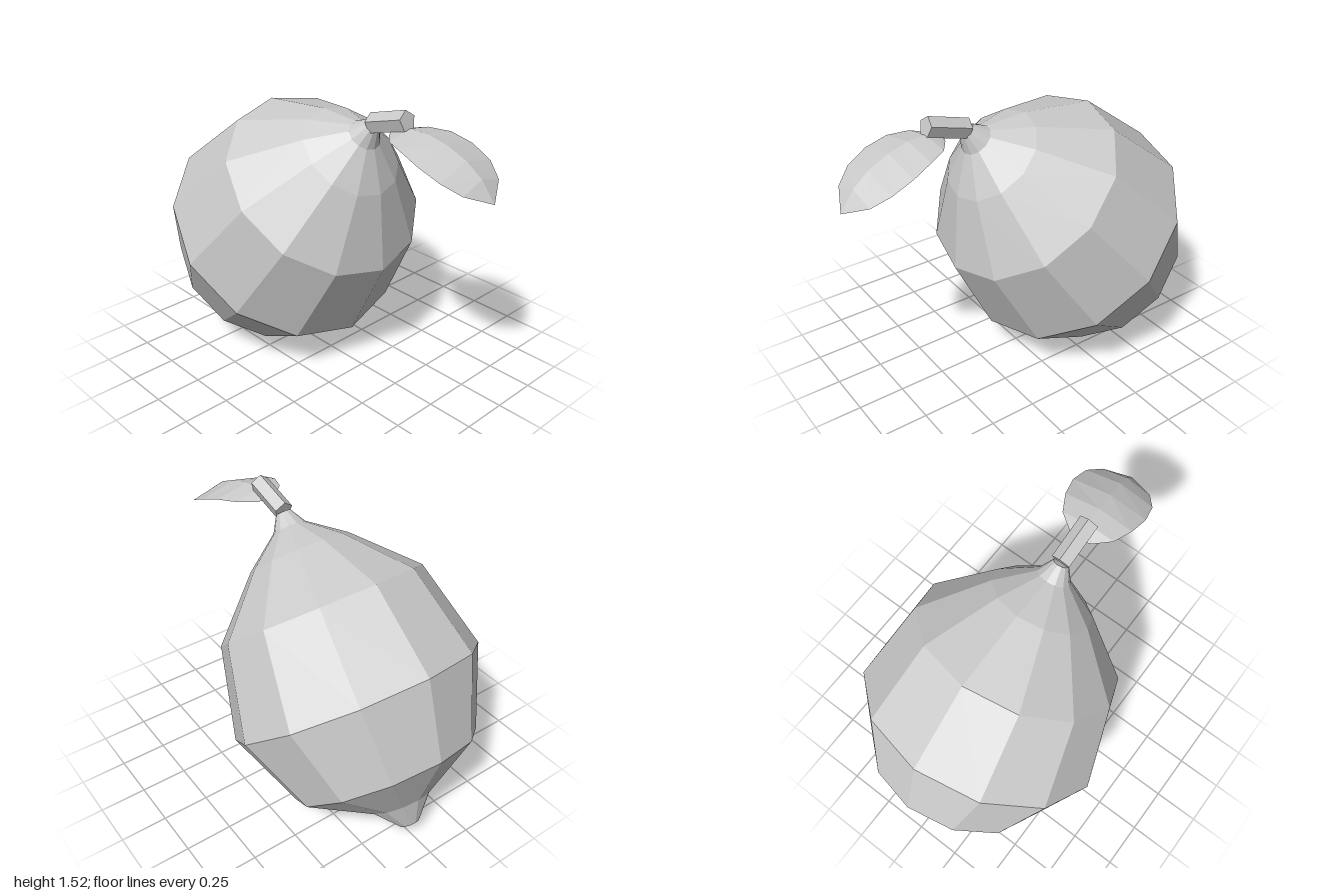
import * as THREE from 'three';

const material = () => new THREE.MeshStandardMaterial({ color: 0xcccccc, flatShading: true });

// Twelve-sided fruit: [radius, distance along its axis], closed at both ends
function makeFruit() {
  const profile = [
    [0, -0.745], [0.055, -0.743], [0.172, -0.612], [0.503, -0.41], [0.678, 0],
    [0.56, 0.481], [0.271, 0.776], [0.088, 0.913], [0.04, 0.995], [0, 1.0],
  ].map(([r, y]) => new THREE.Vector2(r, y));
  const fruit = new THREE.Mesh(new THREE.LatheGeometry(profile, 12), material());
  fruit.name = 'fruit';
  fruit.position.set(-0.35, 0.64, 0);
  fruit.rotation.z = -0.702;
  return fruit;
}

// Five-sided stem with one edge facing up
function makeStem() {
  const geometry = new THREE.CylinderGeometry(0.053, 0.053, 0.234, 5);
  geometry.rotateY(-Math.PI / 2); // first corner to -x, which becomes up
  geometry.rotateZ(-Math.PI / 2 + 0.281);
  const stem = new THREE.Mesh(geometry, material());
  stem.name = 'stem';
  stem.position.set(0.402, 1.443, 0);
  return stem;
}

// Arched leaf with a raised midrib, lofted from three-point sections
function makeLeaf() {
  // x, midrib height, half width, drop of the edges
  const sections = [
    [0.43, 1.415, 0.012, 0.0], [0.455, 1.425, 0.065, 0.015], [0.52, 1.44, 0.145, 0.028],
    [0.62, 1.437, 0.19, 0.036], [0.73, 1.41, 0.21, 0.047], [0.84, 1.36, 0.195, 0.05],
    [0.925, 1.295, 0.14, 0.04], [1.0, 1.195, 0.0, 0.0],
  ];
  const positions = [];
  const index = [];
  sections.forEach(([x, y, half, drop], i) => {
    const middle = -0.05 * (x - 0.43) / 0.57;
    for (const side of [-1, 0, 1]) {
      // the sections lean slightly with the sideways turn of the leaf
      positions.push(x - side * half * -0.06, y - Math.abs(side) * drop, middle + side * half);
    }
    if (i === 0) return;
    for (let j = 0; j < 2; j++) {
      const a = (i - 1) * 3 + j;
      index.push(a, a + 1, a + 3, a + 1, a + 4, a + 3);
    }
  });
  const geometry = new THREE.BufferGeometry();
  geometry.setAttribute('position', new THREE.Float32BufferAttribute(positions, 3));
  geometry.setIndex(index);
  geometry.computeVertexNormals();
  const leafMaterial = material();
  leafMaterial.side = THREE.DoubleSide;
  const leaf = new THREE.Mesh(geometry, leafMaterial);
  leaf.name = 'leaf';
  return leaf;
}

export function createModel() {
  const model = new THREE.Group();
  model.name = 'lemon';
  model.add(makeFruit(), makeStem(), makeLeaf());
  return model;
}
